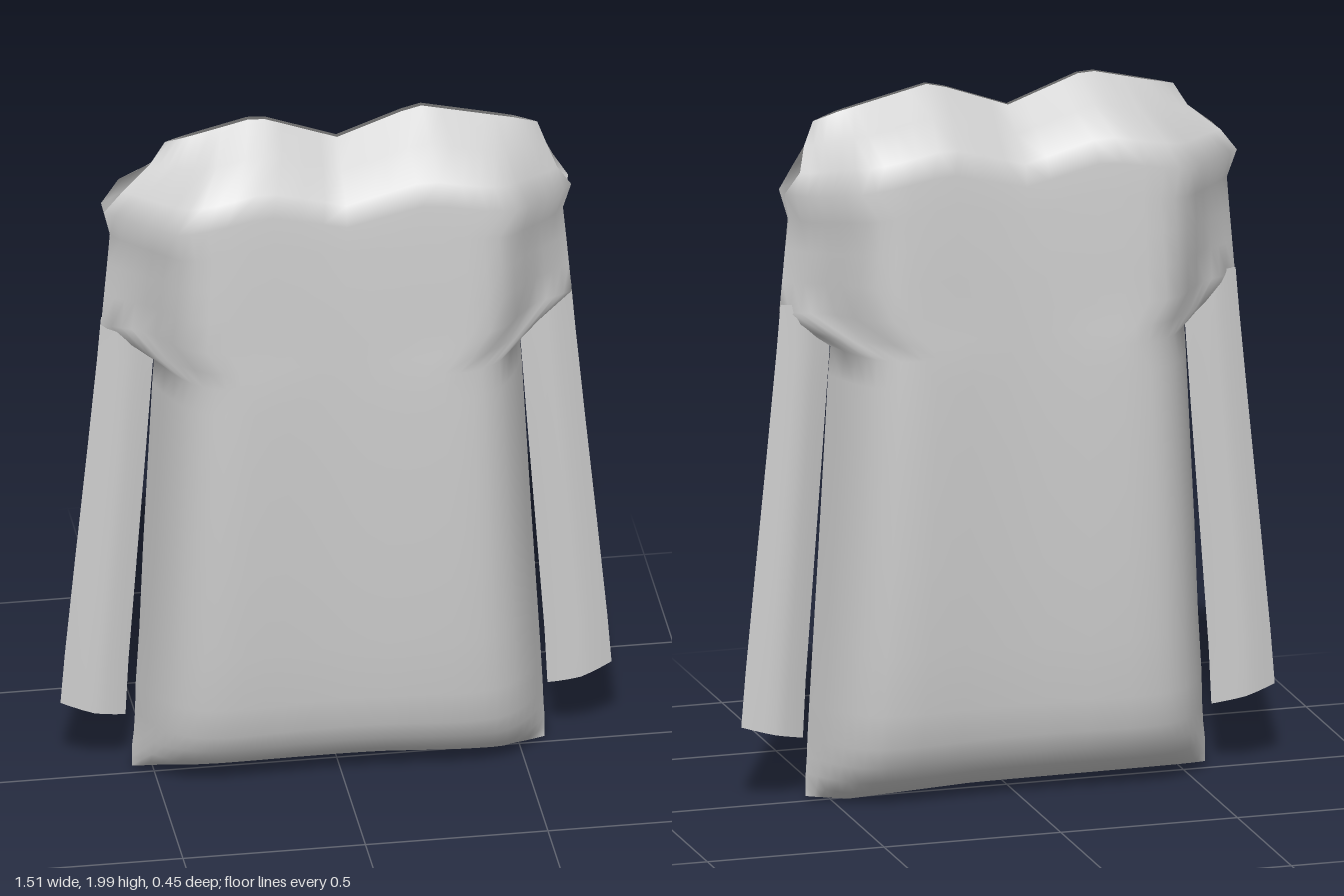
import * as THREE from 'three';

const cloth = new THREE.MeshStandardMaterial({ color: 0xcccccc, side: THREE.DoubleSide });
cloth.name = 'grey cloth';

// Piecewise-linear lookup in a list of [input, output] pairs
function lookup(pairs, t) {
  if (t <= pairs[0][0]) return pairs[0][1];
  for (let i = 1; i < pairs.length; i++) {
    const [a, p] = pairs[i - 1], [b, q] = pairs[i];
    if (t <= b) return p + (q - p) * (t - a) / (b - a);
  }
  return pairs[pairs.length - 1][1];
}

// Grid surface from a point rule; flip reverses the winding
function sheet(name, columns, rows, point, flip) {
  const positions = [], index = [];
  rows.forEach((row) => columns.forEach((u) => positions.push(...point(u, row))));
  const n = columns.length;
  for (let j = 0; j < rows.length - 1; j++) {
    for (let i = 0; i < n - 1; i++) {
      const a = j * n + i, b = a + 1, c = a + n, d = c + 1;
      if (flip) index.push(a, d, b, a, c, d);
      else index.push(a, b, d, a, d, c);
    }
  }
  const geometry = new THREE.BufferGeometry();
  geometry.setAttribute('position', new THREE.Float32BufferAttribute(positions, 3));
  geometry.setIndex(index);
  geometry.computeVertexNormals();
  const mesh = new THREE.Mesh(geometry, cloth);
  mesh.name = name;
  return mesh;
}

// Body rows: height, half width at -x, half width at +x, depth, armhole opening.
// Above the armpits the panel runs out over the sleeve heads.
const bodyRows = [
  [0.00, 0.56, 0.57, 0.00, 0],
  [0.03, 0.56, 0.57, 0.065, 0],
  [0.07, 0.56, 0.57, 0.12, 0],
  [0.12, 0.555, 0.567, 0.152, 0],
  [0.18, 0.552, 0.565, 0.18, 0],
  [0.28, 0.55, 0.56, 0.195, 0],
  [0.45, 0.54, 0.55, 0.207, 0],
  [0.70, 0.53, 0.535, 0.216, 0],
  [1.00, 0.515, 0.518, 0.220, 0],
  [1.20, 0.505, 0.507, 0.218, 0],
  [1.28, 0.50, 0.50, 0.216, 0],
  [1.33, 0.57, 0.57, 0.215, 0],
  [1.40, 0.645, 0.645, 0.213, 0],
  [1.50, 0.637, 0.637, 0.210, 0],
  [1.60, 0.629, 0.629, 0.206, 0],
  [1.70, 0.62, 0.62, 0.200, 0.004],
  [1.79, 0.64, 0.64, 0.195, 0.022],
  [1.86, 0.59, 0.60, 0.184, 0.03],
  [1.93, 0.51, 0.575, 0.09, 0],
  [2.00, 0.47, 0.55, 0.00, 0],
];
const neckline = [[-0.47, 1.94], [-0.22, 2], [0, 1.92], [0.22, 2], [0.48, 1.94], [0.57, 1.91]];
const hemline = [[-0.56, 0.025], [0.1, 0.022], [0.45, 0.005], [0.57, 0.02]];

// Cross-section bulges, from the centre out to the side seam
const middle = [[0, 0.9], [0.2, 0.92], [0.42, 0.97], [0.58, 1]];
const torso = [...middle, [0.72, 0.95], [0.82, 0.81], [0.9, 0.57], [0.95, 0.34], [1, 0]];
const armpit = [...middle, [0.68, 0.82], [0.76, 0.48], [0.83, 0.22], [0.9, 0.13], [1, 0]];
const shoulder = [...middle, [0.72, 0.93], [0.79, 0.73], [0.87, 0.47], [0.95, 0.2], [1, 0]];

function bulge(u, h) {
  const { clamp, lerp } = THREE.MathUtils;
  const rise = clamp((h - 1.28) / 0.12, 0, 1), top = clamp((h - 1.4) / 0.35, 0, 1);
  return lerp(lookup(torso, u), lerp(lookup(armpit, u), lookup(shoulder, u), top), rise);
}

const half = [0.1, 0.2, 0.32, 0.42, 0.52, 0.6, 0.67, 0.73, 0.79, 0.84, 0.88, 0.92, 0.96, 1];
const bodyColumns = [...half.map((u) => -u).reverse(), 0, ...half];

function bodyPanel(name, side) {
  return sheet(name, bodyColumns, bodyRows, (u, [h, right, left, depth, gap]) => {
    const a = Math.abs(u);
    const x = u * (u < 0 ? right : left);
    const up = Math.max(0, (h - 1.3) / 0.7);
    const low = Math.max(0, 1 - h / 0.3);
    const y = h + up * (lookup(neckline, x) - 2) + low * lookup(hemline, x);
    // Panels part slightly at neck and hem, and meet at the side seams
    const seam = -0.004 + side * 0.008 * (1 - a ** 12);
    const opening = gap * a ** 12 * (side > 0 ? 0.9 : 1.5);
    return [x, y, seam + side * (depth * bulge(a, h) + opening)];
  }, side < 0);
}

// Sleeve rows: inner x, inner y, outer x, outer y, half thickness
const sleeveRows = [
  [0.578, 0.185, 0.755, 0.23, 0.028],
  [0.57, 0.35, 0.743, 0.38, 0.029],
  [0.548, 0.65, 0.715, 0.67, 0.027],
  [0.522, 1.00, 0.682, 1.00, 0.025],
  [0.502, 1.28, 0.655, 1.28, 0.022],
  [0.51, 1.41, 0.644, 1.41, 0.02],
];
const sleeveColumns = [-1, -0.7, -0.35, 0, 0.35, 0.7, 1];

function sleeve(name, mirror) {
  const group = new THREE.Group();
  group.name = name;
  for (const side of [1, -1]) {
    group.add(sheet(name + (side > 0 ? 'Front' : 'Back'), sleeveColumns, sleeveRows, (u, [xi, yi, xo, yo, t]) => {
      const k = (u + 1) / 2;
      const z = -0.004 - 0.008 * k + side * t * (1 - Math.abs(u) ** 1.4);
      return [mirror * (xi + (xo - xi) * k), yi + (yo - yi) * k, z];
    }, side * mirror < 0));
  }
  return group;
}

export function createModel() {
  const model = new THREE.Group();
  model.name = 'longSleevedShirt';
  model.add(bodyPanel('frontPanel', 1), bodyPanel('backPanel', -1));
  model.add(sleeve('leftSleeve', 1), sleeve('rightSleeve', -1));
  return model;
}
